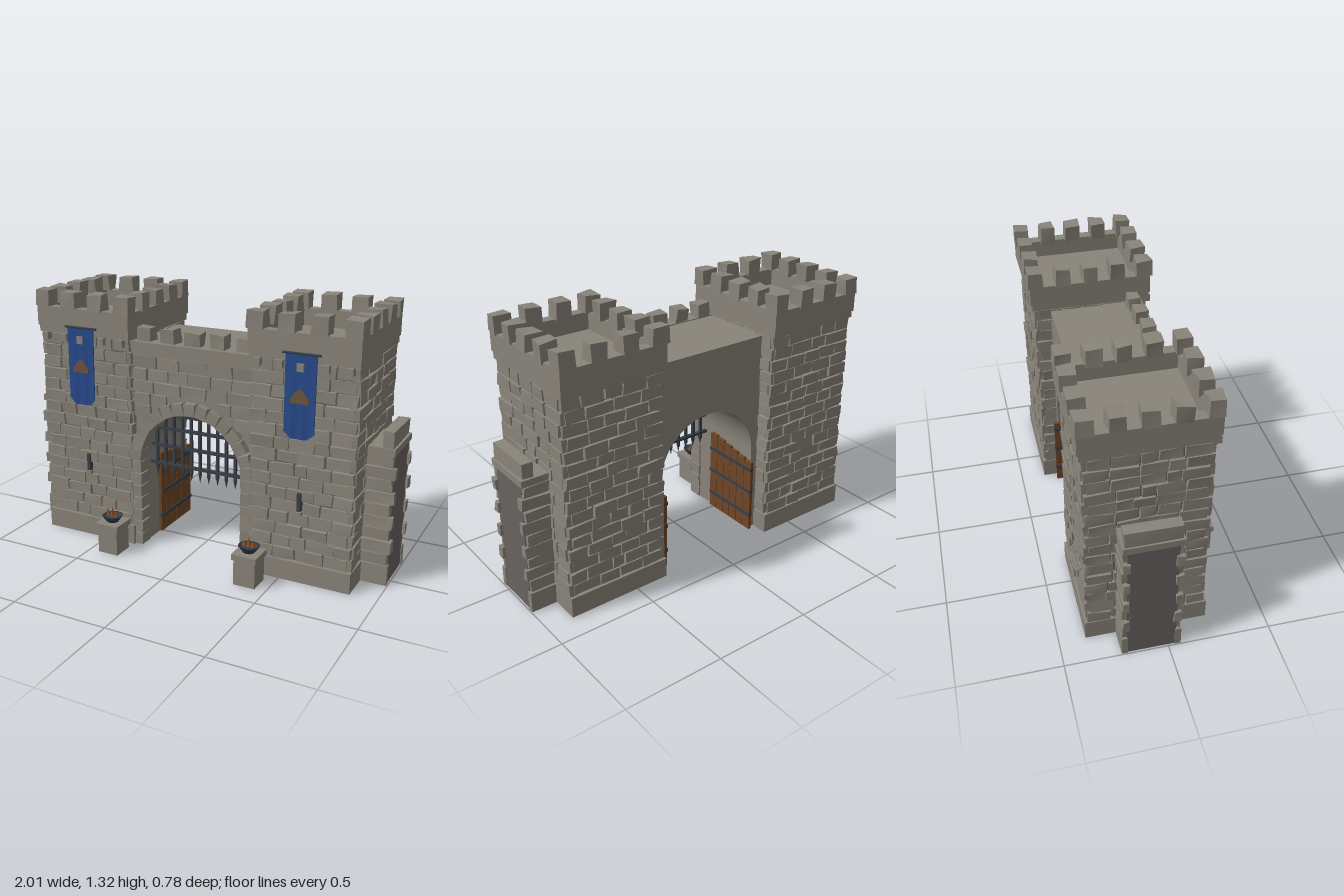
import * as THREE from 'three';
import { mergeGeometries } from 'three/addons/utils/BufferGeometryUtils.js';

const mat = (name, color, side = THREE.FrontSide) => {
  const m = new THREE.MeshStandardMaterial({ color, side });
  m.name = name;
  return m;
};

export function createModel() {
  const stone = mat('stone', 0x89847a);
  const mortar = mat('mortar', 0x676360);
  const iron = mat('iron', 0x383f47);
  const wood = mat('wood', 0x6e4526);
  const cloth = mat('bannerCloth', 0x27498a, THREE.DoubleSide);
  const bronze = mat('bronze', 0x6e5540);
  const ember = mat('ember', 0x9a5526);

  const model = new THREE.Group();
  model.name = 'castleGate';
  let seed = 7;
  const rnd = () => (seed = (seed * 16807) % 2147483647) / 2147483647;
  const jit = (a) => (rnd() - 0.5) * 2 * a;

  const add = (name, geo, material, parent = model) => {
    const mesh = new THREE.Mesh(geo, material);
    mesh.name = name;
    parent.add(mesh);
    return mesh;
  };
  // Box given by its limits on each axis
  const box = (x0, x1, y0, y1, z0, z1) =>
    new THREE.BoxGeometry(Math.abs(x1 - x0), y1 - y0, z1 - z0)
      .translate((x0 + x1) / 2, (y0 + y1) / 2, (z0 + z1) / 2);
  // Hand-cut block: box with its eight corners nudged
  const block = (w, h, d, a = 0.004) => {
    const g = new THREE.BoxGeometry(w, h, d);
    const p = g.attributes.position;
    const off = Array.from({ length: 8 }, () => [jit(a), jit(a), jit(a)]);
    for (let i = 0; i < p.count; i++) {
      const k = (p.getX(i) > 0 ? 1 : 0) + (p.getY(i) > 0 ? 2 : 0) + (p.getZ(i) > 0 ? 4 : 0);
      p.setXYZ(i, p.getX(i) + off[k][0], p.getY(i) + off[k][1], p.getZ(i) + off[k][2]);
    }
    g.computeVertexNormals();
    return g;
  };
  // One course of bricks from u0 to u1, faces towards +z at z = 0
  const course = (u0, u1, y0, y1, size = 0.115) => {
    const n = Math.max(1, Math.round((u1 - u0) / size));
    const cuts = [u0];
    for (let i = 1; i < n; i++) cuts.push(u0 + ((u1 - u0) * (i + jit(0.22))) / n);
    cuts.push(u1);
    return cuts.slice(1).map((c, i) =>
      block(c - cuts[i] - 0.007, y1 - y0 - 0.006, 0.034 + jit(0.006))
        .translate((c + cuts[i]) / 2, (y0 + y1) / 2 + jit(0.002), 0));
  };
  // Brick facing of a rectangular core; sides: 0 front, 1 +x, 2 back, 3 -x
  const facing = (cx, cz, hx, hz, y0, y1, rows, sides) => {
    const out = [];
    const h = (y1 - y0) / rows;
    for (const k of sides) {
      const half = k % 2 ? hz : hx;
      const dist = k % 2 ? hx : hz;
      for (let r = 0; r < rows; r++) {
        const e = (r + k) % 2 ? 0.014 : -0.002;
        for (const g of course(-half - e, half + e, y0 + r * h, y0 + (r + 1) * h))
          out.push(g.translate(0, 0, dist).rotateY((k * Math.PI) / 2).translate(cx, 0, cz));
      }
    }
    return mergeGeometries(out);
  };

  const buildTower = (s) => {
    const g = new THREE.Group();
    g.name = s > 0 ? 'leftTower' : 'rightTower';
    model.add(g);
    const cx = 0.595 * s, cz = -0.075;
    const centred = (hx, hz, y0, y1) => box(cx - hx, cx + hx, y0, y1, cz - hz, cz + hz);
    add('towerCore', centred(0.25, 0.272, 0.005, 1.12), mortar, g);
    add('towerBricks', facing(cx, cz, 0.25, 0.272, 0.11, 1.105, 16, [0, 1, 2, 3]), stone, g);
    add('towerPlinth', centred(0.27, 0.297, 0.005, 0.108), stone, g);
    add('crownBand', centred(0.268, 0.3, 1.105, 1.145), stone, g);

    // Hollow parapet around the sunken roof
    const hx = 0.272, hz = 0.308, t = 0.055;
    add('parapet', mergeGeometries([
      box(cx - hx, cx + hx, 1.14, 1.24, cz + hz - t, cz + hz),
      box(cx - hx, cx + hx, 1.14, 1.24, cz - hz, cz - hz + t),
      box(cx - hx, cx - hx + t, 1.14, 1.24, cz - hz + t, cz + hz - t),
      box(cx + hx - t, cx + hx, 1.14, 1.24, cz - hz + t, cz + hz - t),
    ]), stone, g);
    add('roof', centred(0.22, 0.255, 1.14, 1.152), stone, g);
    const merlons = [];
    for (let i = 0; i < 4; i++) for (let j = 0; j < 5; j++) {
      if (i % 3 && j % 4) continue;
      merlons.push(block(0.083, 0.085, 0.075, 0.006)
        .translate(cx + (i - 1.5) * 0.157, 1.278, cz + (j - 2) * 0.138));
    }
    add('merlons', mergeGeometries(merlons), stone, g);
    const corbels = [-2, -1, 0, 1, 2].map((i) => {
      const x = cx + i * 0.112;
      return box(x - 0.017, x + 0.017, 1.07, 1.107, 0.19, i ? 0.243 : 0.262);
    });
    add('corbels', mergeGeometries(corbels), stone, g);

    // Arrow slits with sills
    for (const y of [0.37, 0.88]) {
      add('arrowSlit', box(cx - 0.01, cx + 0.01, y, y + 0.1, 0.2, 0.225), iron, g);
      add('slitSill', box(cx - 0.016, cx + 0.016, y - 0.01, y + 0.008, 0.2, 0.233), stone, g);
    }

    // Banner with soft folds and a dipped lower edge
    const flag = new THREE.BoxGeometry(0.152, 0.37, 0.006, 12, 6, 1);
    const p = flag.attributes.position;
    for (let i = 0; i < p.count; i++) {
      const x = p.getX(i), low = 0.5 - p.getY(i) / 0.37;
      p.setY(i, p.getY(i) - low * 0.03 * Math.min(1, (1 - Math.abs(x) / 0.076) * 2));
      p.setZ(i, p.getZ(i) + low * 0.006 + 0.003 * low * Math.sin(x * 110));
    }
    flag.computeVertexNormals();
    add('banner', flag.translate(cx, 0.965, 0.247), cloth, g);
    add('bannerRod', new THREE.CylinderGeometry(0.006, 0.006, 0.185, 8)
      .rotateZ(Math.PI / 2).translate(cx, 1.15, 0.246), iron, g);
    const badge = new THREE.Shape([[-0.045, -0.03], [0.045, -0.03], [0.045, -0.01], [0.022, 0.022],
      [0, 0.04], [-0.022, 0.022], [-0.045, -0.01]].map((q) => new THREE.Vector2(...q)));
    add('bannerBadge', new THREE.ExtrudeGeometry(badge, { depth: 0.006, bevelEnabled: false })
      .translate(cx, 0.95, 0.253), bronze, g);

    // Low side wall with coping
    const wx = 0.925 * s, wz = -0.082;
    const wall = (a, b, y0, y1, d) => box(a * s, b * s, y0, y1, wz - d, wz + d);
    add('sideWallCore', wall(0.85, 0.99, 0.005, 0.67, 0.118), mortar, g);
    add('sideWallBricks', facing(wx, wz, 0.068, 0.122, 0.11, 0.67, 9, [0, 2]), stone, g);
    add('sideWallPlinth', mergeGeometries([-1, 1].map((k) =>
      box(0.85 * s, 0.995 * s, 0.005, 0.108, wz + k * 0.128 - 0.015, wz + k * 0.128 + 0.015))), stone, g);
    add('sideWallCoping', wall(0.85, 0.997, 0.668, 0.702, 0.14), stone, g);
    add('sideWallParapet', block(0.055, 0.08, 0.265).translate(0.96 * s, 0.742, wz), stone, g);
  };

  // Gatehouse wall pierced by the arch
  const R = 0.29, springY = 0.475;
  const outline = new THREE.Shape();
  outline.moveTo(-0.35, 0.005);
  outline.lineTo(-R, 0.005);
  outline.lineTo(-R, springY);
  outline.absarc(0, springY, R, Math.PI, 0, true);
  outline.lineTo(R, 0.005);
  outline.lineTo(0.35, 0.005);
  outline.lineTo(0.35, 1.095);
  outline.lineTo(-0.35, 1.095);
  add('gateWall', new THREE.ExtrudeGeometry(outline, { depth: 0.45, bevelEnabled: false, curveSegments: 24 })
    .translate(0, 0, -0.282), stone);
  add('gateParapet', box(-0.33, 0.33, 1.03, 1.1, 0.1, 0.19), stone);
  const gateBricks = [];
  for (let r = 0; r < 5; r++) {
    const y0 = 0.71 + r * 0.064, y1 = y0 + 0.064;
    const gap = Math.sqrt(Math.max(0, 0.33 ** 2 - (y0 - springY) ** 2));
    const spans = gap > 0 ? [[-0.34, -gap], [gap, 0.34]] : [[-0.34 - (r % 2) * 0.05, 0.34]];
    for (const [a, b] of spans) gateBricks.push(...course(a, b, y0, y1, 0.13));
  }
  add('gateBricks', mergeGeometries(gateBricks).translate(0, 0, 0.166), stone);
  add('gateMerlons', mergeGeometries([-2, -1, 0, 1, 2].map((i) =>
    block(0.08, 0.07, 0.065, 0.007).translate(i * 0.136, 1.132, 0.135))), stone);

  // Arch ring and jamb stones
  const ring = [];
  for (let i = 0; i < 15; i++) {
    const a = ((i + 0.5) / 15) * Math.PI;
    ring.push(block(0.062, 0.06, 0.075, 0.003).translate(0.313, 0, 0).rotateZ(a).translate(0, springY, 0.17));
  }
  for (const s of [-1, 1]) for (let i = 0; i < 7; i++)
    ring.push(block(0.062, 0.062, 0.075, 0.003).translate(s * 0.313, 0.038 + i * 0.067, 0.17));
  add('archStones', mergeGeometries(ring), stone);

  // Raised portcullis with spiked bars
  const bars = [];
  for (let i = -5; i <= 5; i++) {
    const x = i * 0.05;
    const top = springY + Math.sqrt(R * R - x * x) + 0.01;
    bars.push(box(x - 0.007, x + 0.007, 0.405, top, 0.083, 0.097));
    bars.push(new THREE.ConeGeometry(0.01, 0.045, 4).rotateX(Math.PI).translate(x, 0.388, 0.09));
  }
  for (const y of [0.44, 0.54, 0.635, 0.71]) {
    const w = Math.sqrt(R * R - Math.max(0, y - springY) ** 2);
    bars.push(box(-w, w, y - 0.007, y + 0.007, 0.08, 0.1));
  }
  add('portcullis', mergeGeometries(bars), iron);

  // Open plank doors along the passage
  const buildDoor = (s) => {
    const g = new THREE.Group();
    g.name = s > 0 ? 'leftDoor' : 'rightDoor';
    model.add(g);
    const planks = [];
    for (let i = 0; i < 6; i++) {
      const z = -0.305 + i * 0.055;
      planks.push(box(0.272 * s, 0.289 * s, 0.01, 0.41 + i * 0.01, z, z + 0.052));
    }
    add('planks', mergeGeometries(planks), wood, g);
    for (const y of [0.09, 0.23, 0.36])
      add('doorBand', box(0.267 * s, 0.288 * s, y, y + 0.018, -0.307, 0.022), iron, g);
  };

  // Stone pedestal carrying a fire bowl
  const buildBrazier = (s) => {
    const g = new THREE.Group();
    g.name = s > 0 ? 'leftBrazier' : 'rightBrazier';
    g.position.set(0.388 * s, 0, 0.325);
    model.add(g);
    add('pedestal', box(-0.056, 0.056, 0.005, 0.14, -0.056, 0.056), stone, g);
    add('pedestalCap', box(-0.065, 0.065, 0.138, 0.168, -0.065, 0.065), stone, g);
    const bowl = [[0, 0.168], [0.03, 0.168], [0.054, 0.2], [0.047, 0.2], [0.03, 0.185], [0, 0.185]];
    add('bowl', new THREE.LatheGeometry(bowl.map((q) => new THREE.Vector2(...q)), 12).toNonIndexed(), iron, g);
    add('coals', new THREE.CylinderGeometry(0.036, 0.03, 0.012, 8).translate(0, 0.19, 0), iron, g);
    const flames = [[-0.024, 0.035], [0, 0.055], [0.022, 0.038]].map(([x, h]) =>
      new THREE.ConeGeometry(0.013, h, 5).translate(x, 0.192 + h / 2, 0));
    add('flames', mergeGeometries(flames), ember, g);
  };

  for (const s of [-1, 1]) {
    buildTower(s);
    buildDoor(s);
    buildBrazier(s);
  }
  return model;
}
